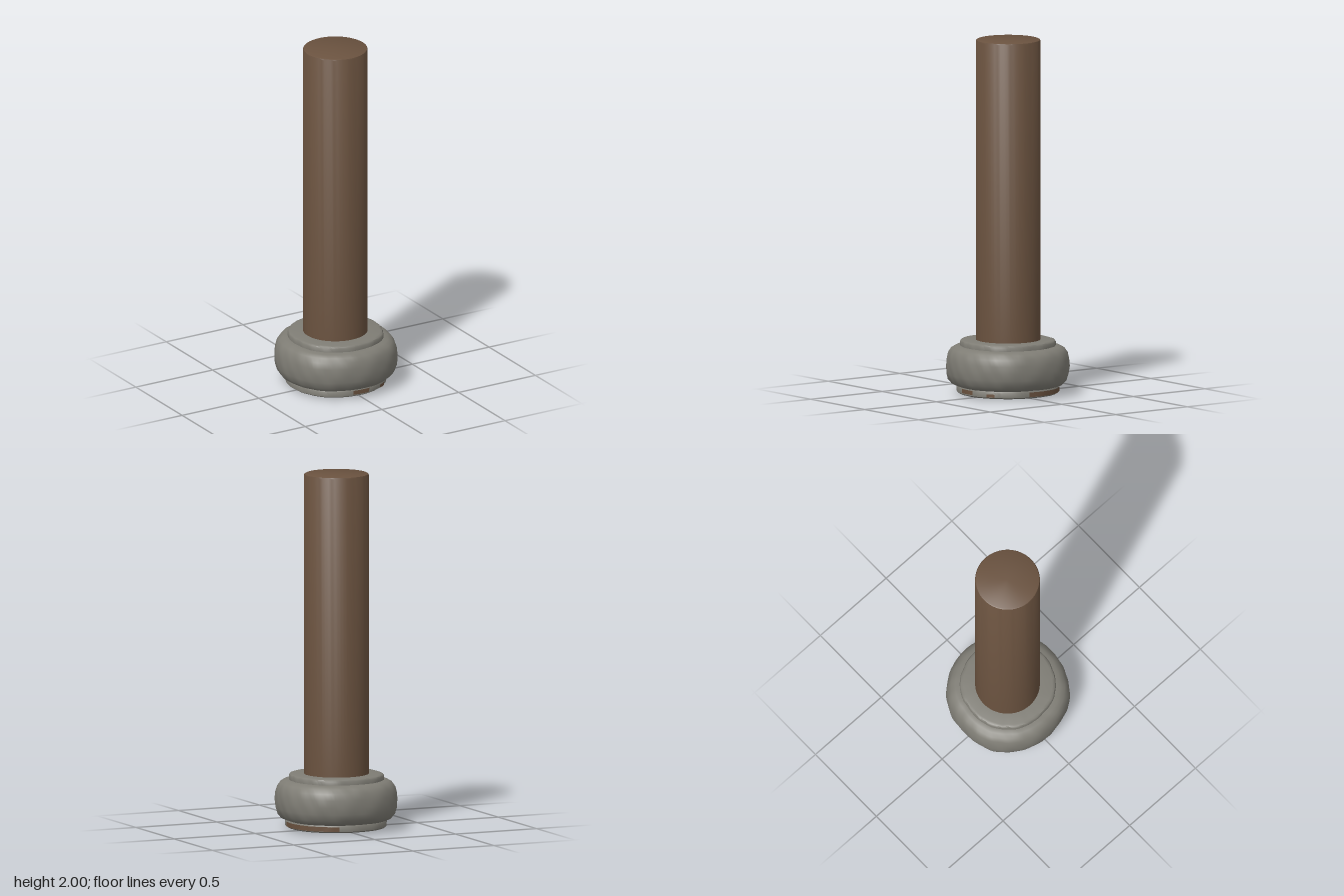
import * as THREE from 'three';
import { toCreasedNormals } from 'three/addons/utils/BufferGeometryUtils.js';

const stone = new THREE.MeshStandardMaterial({ color: 0x7f7d75 });
stone.name = 'weathered stone';
const wood = new THREE.MeshStandardMaterial({ color: 0x6a523f });
wood.name = 'brown wood';

// Hand-hewn unevenness: radius factor by angle and height
function wobble(angle, y) {
  return 1 + 0.012 * Math.cos(4 * angle - Math.PI + 0.1)
    + 0.006 * Math.sin(7 * angle + 9 * y)
    + 0.004 * Math.sin(13 * angle - 31 * y)
    + 0.003 * Math.sin(23 * angle + 47 * y);
}

function roughen(geometry, amount) {
  const p = geometry.attributes.position;
  for (let i = 0; i < p.count; i++) {
    const x = p.getX(i), y = p.getY(i), z = p.getZ(i);
    const f = 1 + (wobble(Math.atan2(x, z), y) - 1) * amount;
    p.setXYZ(i, x * f, y, z * f);
  }
  return toCreasedNormals(geometry, 0.7);
}

function lathe(points, segments) {
  return new THREE.LatheGeometry(points.map(([r, y]) => new THREE.Vector2(r, y)), segments);
}

function add(group, name, geometry, material) {
  const mesh = new THREE.Mesh(geometry, material);
  mesh.name = name;
  group.add(mesh);
  return mesh;
}

export function createModel() {
  const model = new THREE.Group();
  model.name = 'pillar';

  // Round shaft with a softened top edge
  const shaft = lathe([[0, 0.27], [0.181, 0.27], [0.181, 1.99], [0.178, 1.997], [0.172, 2], [0, 2]], 64);
  add(model, 'shaft', toCreasedNormals(shaft, 0.6), wood).position.z = -0.003;

  const base = new THREE.Group();
  base.name = 'base';
  model.add(base);

  // Flat foot disc
  const foot = lathe([[0, 0], [0.12, 0.004], [0.272, 0.01], [0.282, 0.017], [0.284, 0.045], [0.278, 0.054], [0.2, 0.056]], 96);
  add(base, 'foot', roughen(foot, 0.6), stone);

  // Bulging drum
  const drum = lathe([
    [0.2, 0.05], [0.28, 0.052], [0.308, 0.062], [0.328, 0.085], [0.338, 0.12], [0.341, 0.16],
    [0.338, 0.2], [0.329, 0.235], [0.313, 0.259], [0.29, 0.272], [0.262, 0.277], [0.2, 0.277],
  ], 96);
  add(base, 'drum', roughen(drum, 1), stone);

  // Collar under the shaft
  const collar = lathe([[0.25, 0.26], [0.264, 0.27], [0.265, 0.297], [0.259, 0.306], [0.246, 0.31], [0.15, 0.31]], 96);
  add(base, 'collar', roughen(collar, 1), stone);

  // Exposed brown patches on the foot rim: start angle, end angle, bottom, top
  const patches = [[-0.18, 0.17, 0.024, 0.047], [0.5, 0.66, 0.019, 0.036], [1.36, 2.76, 0.019, 0.045]];
  for (const [start, end, low, high] of patches) {
    const n = Math.ceil((end - start) * 20);
    const patch = new THREE.CylinderGeometry(0.287, 0.287, high - low, n, 1, true, start, end - start);
    patch.translate(0, (low + high) / 2, 0);
    add(base, 'rimPatch', roughen(patch, 0.6), wood);
  }

  return model;
}
